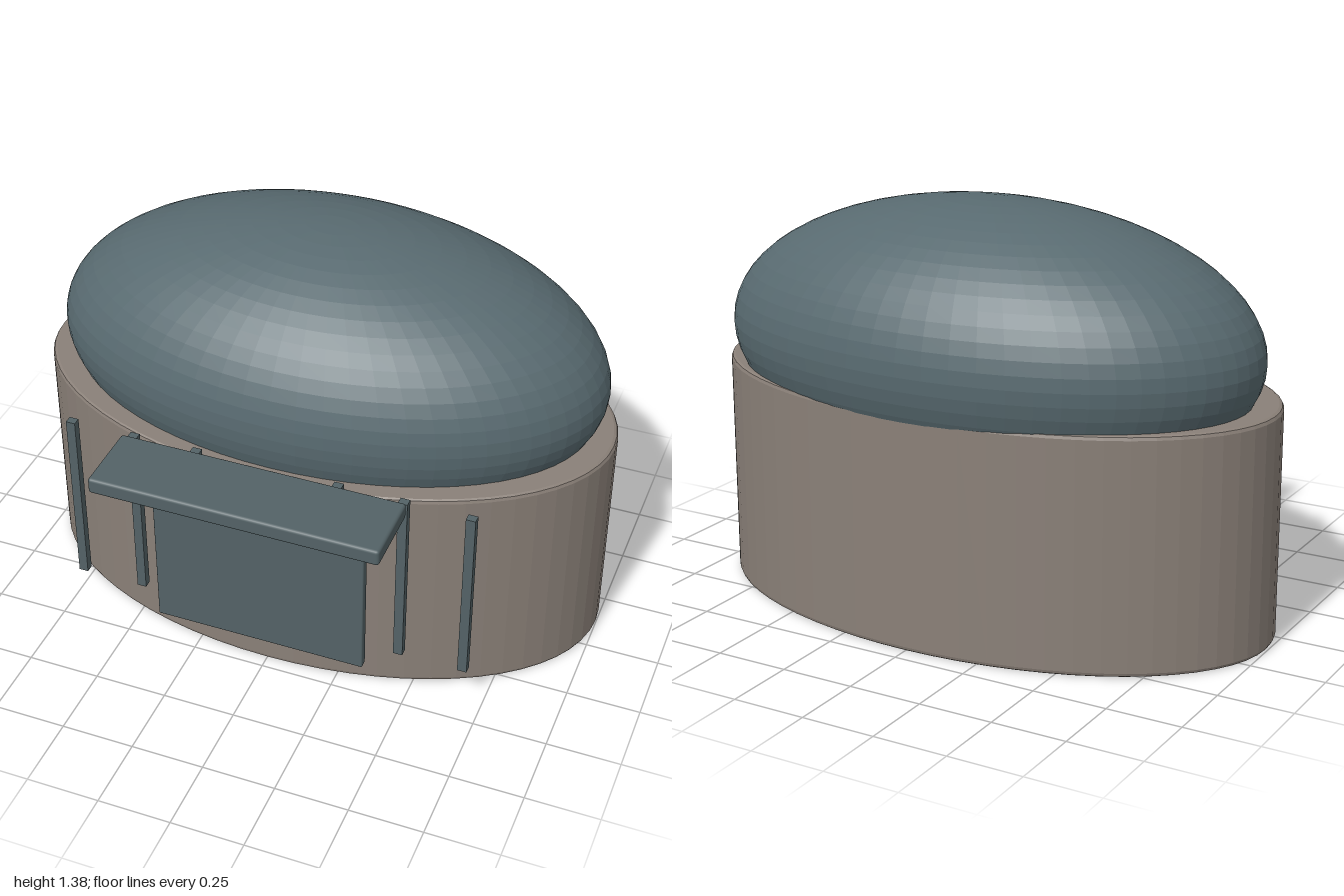
import * as THREE from 'three';
import { RoundedBoxGeometry } from 'three/addons/geometries/RoundedBoxGeometry.js';

const stone = new THREE.MeshStandardMaterial({ name: 'warm stone', color: 0x8a8078, flatShading: true });
const slate = new THREE.MeshStandardMaterial({ name: 'slate roof', color: 0x586a70, flatShading: true });
const metal = new THREE.MeshStandardMaterial({ name: 'dark metal', color: 0x536266 });

export function createModel() {
  const model = new THREE.Group();
  model.name = 'domedPavilion';

  function add(name, geometry, material, x, y, z) {
    const mesh = new THREE.Mesh(geometry, material);
    mesh.name = name;
    mesh.position.set(x, y, z);
    model.add(mesh);
    return mesh;
  }

  // Oval drum with softly bevelled rims
  const profile = [
    [0, 0], [0.985, 0], [0.995, 0.004], [1, 0.014],
    [1, 0.768], [0.995, 0.778], [0.985, 0.782], [0, 0.782],
  ].map(([r, y]) => new THREE.Vector2(r, y));
  const drum = new THREE.LatheGeometry(profile, 64);
  drum.scale(1, 1, 0.577);
  add('drumWall', drum, stone, 0, 0, -0.118);

  // Ellipsoid roof, its lower part sunk into the drum
  const dome = new THREE.SphereGeometry(1, 64, 32);
  dome.scale(0.952, 0.462, 0.576);
  add('domeRoof', dome, slate, 0, 0.915, -0.152);

  // Entrance panel and the canopy above it
  add('entrancePanel', new RoundedBoxGeometry(0.734, 0.65, 0.033, 2, 0.005), metal, 0, 0.465, 0.507);
  add('entranceCanopy', new RoundedBoxGeometry(0.972, 0.056, 0.252, 2, 0.01), metal, 0, 0.812, 0.6);

  // Slim vertical fins along the front
  for (const side of [-1, 1]) {
    for (const x of [0.244, 0.465, 0.687]) {
      add('facadeFin', new THREE.BoxGeometry(0.032, 0.64, 0.028), metal, side * x, 0.49, 0.435);
    }
  }
  return model;
}
